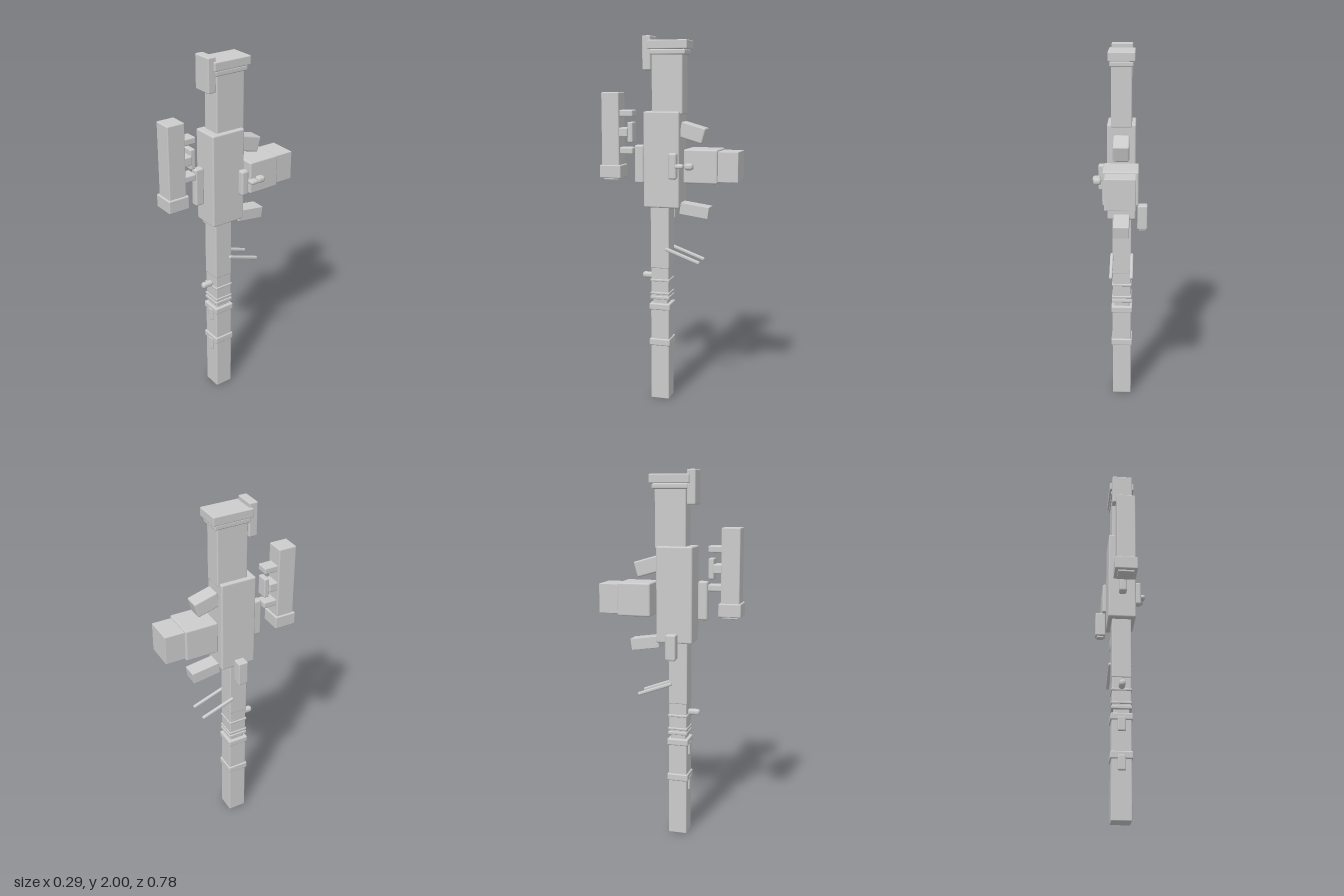
import * as THREE from 'three';
import { RoundedBoxGeometry } from 'three/addons/geometries/RoundedBoxGeometry.js';

const CX = -0.008; // centre line of the body

export function createModel() {
  const root = new THREE.Group();
  root.name = 'blockRifle';
  const grey = new THREE.MeshStandardMaterial({ color: 0xcccccc });
  grey.name = 'plain grey';

  // Box from its extents, with slightly softened edges
  function box(name, [x0, x1], [y0, y1], [z0, z1], r = 0.007) {
    const w = x1 - x0, h = y1 - y0, d = z1 - z0;
    const radius = Math.min(r, w * 0.45, h * 0.45, d * 0.45);
    const mesh = new THREE.Mesh(new RoundedBoxGeometry(w, h, d, 2, radius), grey);
    mesh.position.set((x0 + x1) / 2, (y0 + y1) / 2, (z0 + z1) / 2);
    mesh.name = name;
    root.add(mesh);
    return mesh;
  }
  const mid = (half) => [CX - half, CX + half];

  // Muzzle tube with two bands and front tabs
  box('muzzleTube', mid(0.052), [0, 0.55], [-0.005, 0.098], 0.005);
  for (const [y0, y1, tab] of [[0.515, 0.552, 0.455], [0.31, 0.35, 0.25]]) {
    box('muzzleBand', mid(0.059), [y0, y1], [-0.012, 0.106]);
    box('bandTab', mid(0.021), [tab, y1 - 0.02], [0.08, 0.109]);
  }
  box('muzzleNeck', mid(0.042), [0.54, 0.59], [0.006, 0.088], 0.005);

  // Barrel and its rings
  box('barrel', mid(0.05), [0.58, 0.76], [-0.003, 0.096], 0.005);
  box('foreEnd', mid(0.052), [0.75, 1.1], [-0.005, 0.099], 0.006);
  for (const [y0, y1] of [[0.575, 0.594], [0.603, 0.616], [0.676, 0.69]]) {
    box('barrelRing', mid(0.055), [y0, y1], [-0.008, 0.101], 0.005);
  }
  box('frontSight', mid(0.017), [0.682, 0.717], [0.09, 0.16], 0.015);

  // Folded legs, one each side
  for (const side of [-1, 1]) {
    const leg = box('bipodLeg', mid(0.009), [0.818, 0.838], [-0.185, 0.02], 0.008);
    leg.position.x = CX + side * 0.055;
    leg.rotation.x = -0.35;
  }

  // Receiver and stock
  box('receiver', [-0.083, 0.068], [1.09, 1.605], [-0.068, 0.13], 0.009);
  box('stock', mid(0.054), [1.59, 1.91], [-0.08, 0.09]);
  box('stockCollar', mid(0.061), [1.9, 1.928], [-0.095, 0.1]);
  box('buttPlate', mid(0.07), [1.928, 1.976], [-0.108, 0.11], 0.006);
  box('cheekRest', mid(0.057), [1.82, 2], [0.094, 0.141]);

  // Magazine
  box('magazineWell', mid(0.092), [1.23, 1.41], [-0.28, -0.097], 0.009);
  box('magazine', mid(0.078), [1.24, 1.4], [-0.388, -0.27], 0.003);

  // Tilted grips
  const upper = box('upperGrip', mid(0.042), [1.451, 1.537], [-0.196, -0.06], 0.009);
  upper.rotation.x = -0.28;
  const lower = box('lowerGrip', mid(0.042), [1.045, 1.109], [-0.222, -0.064], 0.003);
  lower.rotation.x = -0.14;

  // Bolt plate and knobs on the left side
  box('boltPlate', [0.075, 0.115], [1.25, 1.39], [-0.065, -0.02], 0.012);
  box('boltHandle', [0.101, 0.143], [1.31, 1.334], [-0.109, -0.063], 0.011);
  box('boltKnob', [0.095, 0.137], [1.304, 1.34], [-0.16, -0.113], 0.015);

  // Side attachment on the right
  box('sidePod', [-0.147, -0.092], [1.01, 1.145], [0, 0.056]);
  box('sidePodTip', [-0.138, -0.101], [1, 1.02], [0.01, 0.046], 0.004);

  // Sighting scope with mounts
  box('scopeTube', mid(0.05), [1.25, 1.705], [0.278, 0.378], 0.006);
  box('scopeBell', mid(0.06), [1.24, 1.312], [0.267, 0.388], 0.006);
  box('scopeLens', mid(0.043), [1.23, 1.245], [0.285, 0.37], 0.003);
  for (const y of [1.592, 1.39]) {
    box('scopeMount', mid(0.035), [y - 0.018, y + 0.018], [0.205, 0.285]);
  }
  box('scopeTurret', mid(0.042), [1.465, 1.515], [0.232, 0.285]);
  box('turretCap', mid(0.032), [1.435, 1.545], [0.206, 0.236]);
  box('topRail', mid(0.021), [1.213, 1.422], [0.147, 0.2], 0.011);

  return root;
}
